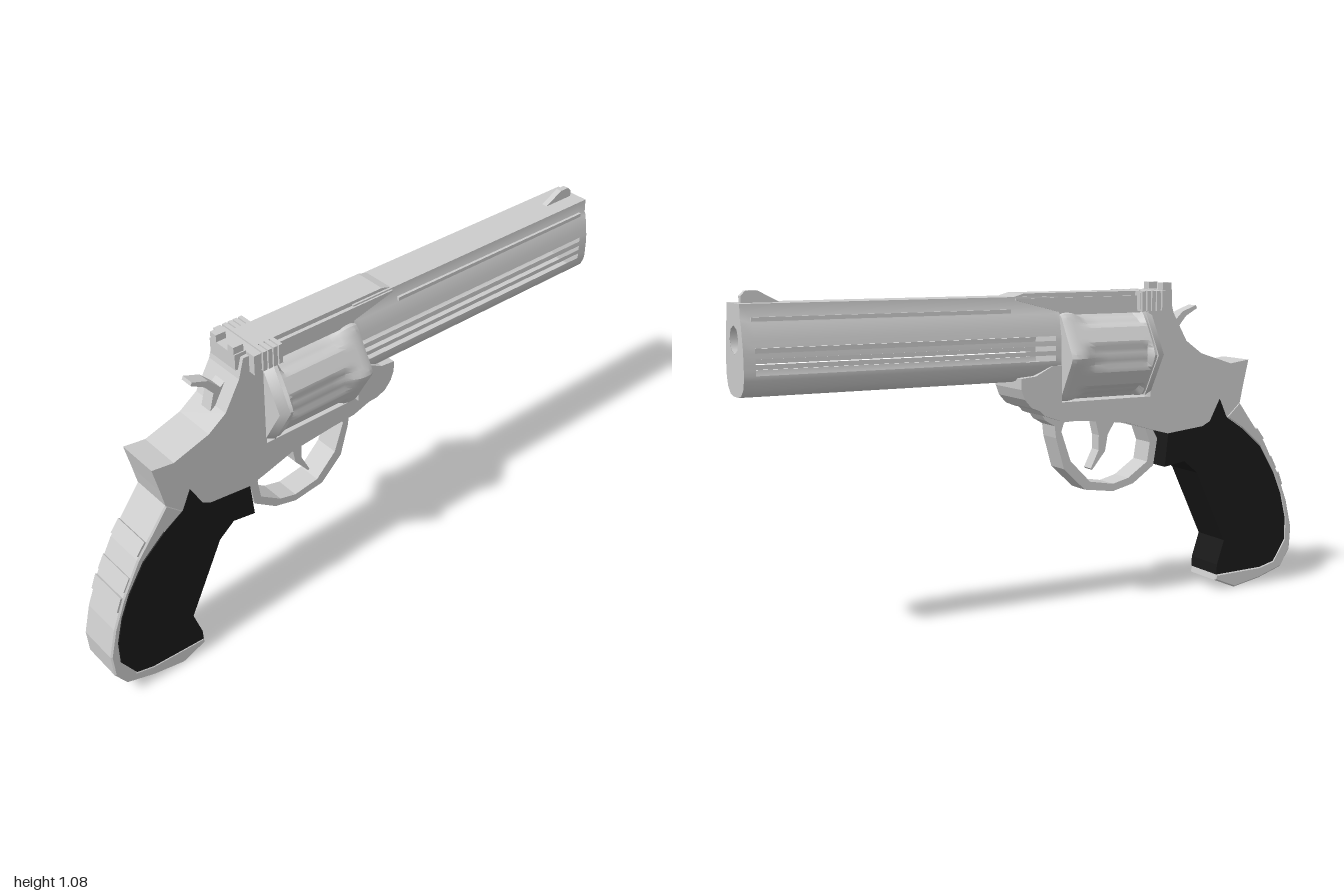
import * as THREE from 'three';
import { toCreasedNormals } from 'three/addons/utils/BufferGeometryUtils.js';

export function createModel() {
  const model = new THREE.Group();
  const steel = new THREE.MeshStandardMaterial({ color: 0xcccccc, side: THREE.DoubleSide });
  const rubber = new THREE.MeshStandardMaterial({ color: 0x191919 });

  function add(name, geo, mat = steel, x = 0, y = 0, z = 0) {
    const m = new THREE.Mesh(geo, mat);
    m.name = name;
    m.position.set(x, y, z);
    model.add(m);
    return m;
  }
  const toShape = pts => new THREE.Shape(pts.map(p => new THREE.Vector2(p[0], p[1])));

  // Side outline (x, y) extruded symmetrically to half width w
  function plate(name, pts, w, mat = steel, bevel = 0) {
    const geo = new THREE.ExtrudeGeometry(toShape(pts), {
      depth: 2 * (w - bevel), bevelEnabled: bevel > 0, bevelThickness: bevel,
      bevelSize: bevel, bevelOffset: -bevel, bevelSegments: 1,
    });
    return add(name, geo.translate(0, 0, bevel - w), mat);
  }
  // Box given by its ranges
  function box(name, x0, x1, y0, y1, z0, z1) {
    add(name, new THREE.BoxGeometry(x1 - x0, y1 - y0, z1 - z0), steel,
      (x0 + x1) / 2, (y0 + y1) / 2, (z0 + z1) / 2);
  }

  // Frame behind and below the cylinder
  plate('frame', [
    [-0.79, 0.805], [-0.715, 0.795], [-0.59, 0.835], [-0.527, 0.88], [-0.473, 0.975],
    [-0.455, 1.04], [-0.37, 1.04], [-0.385, 0.70], [0.06, 0.70], [0.02, 0.66], [-0.04, 0.64],
    [-0.125, 0.635], [-0.285, 0.62], [-0.40, 0.585], [-0.457, 0.57], [-0.60, 0.585],
    [-0.63, 0.60], [-0.67, 0.675], [-0.70, 0.61], [-0.77, 0.565], [-0.755, 0.65], [-0.77, 0.72],
  ], 0.073);

  // Top strap, tapering into the rib of the barrel
  const strapSide = [[-0.39, 0.98], [-0.035, 0.98], [-0.035, 0.99], [0.12, 1.03], [0.12, 1.04],
    [0.085, 1.05], [-0.39, 1.05]];
  plate('topStrap', strapSide, 0.055);
  const strapEdge = strapSide.map(([x, y]) => [x, Math.min(y, 1.035)]);
  plate('topStrapSides', strapEdge, 0.068);

  // Grip and its steel surround
  const gripBack = [[-0.70, 0.61], [-0.77, 0.565], [-0.85, 0.495], [-0.91, 0.40], [-0.945, 0.32],
    [-0.968, 0.23], [-0.968, 0.15], [-0.92, 0.075], [-0.86, 0.06], [-0.67, 0.055]];
  plate('grip', [
    ...gripBack, [-0.672, 0.09], [-0.70, 0.175], [-0.64, 0.30], [-0.58, 0.425], [-0.525, 0.47],
    [-0.445, 0.457], [-0.457, 0.57], [-0.60, 0.585], [-0.63, 0.60], [-0.67, 0.675],
  ], 0.075, rubber);
  plate('backStrap', [
    ...gripBack, [-0.665, 0.035], [-0.75, 0.0], [-0.86, 0.02], [-0.955, 0.05], [-0.995, 0.11],
    [-1.0, 0.19], [-0.975, 0.29], [-0.935, 0.39], [-0.87, 0.51], [-0.80, 0.60], [-0.755, 0.66],
  ], 0.075, steel, 0.005);
  // Raised bands on the back of the grip
  for (const [x, y, a] of [[-0.844, 0.535, 0.91], [-0.905, 0.43, 1.07], [-0.937, 0.37, 1.19]]) {
    const band = add('backStrapBand', new THREE.BoxGeometry(0.05, 0.024, 0.14), steel, x, y);
    band.rotation.z = a;
  }

  // Six-sided cylinder with a flute scooped along each corner
  const seg = 72;
  const xs = [-0.355, -0.345, -0.33, -0.31, -0.25, -0.18, -0.13, -0.105, -0.085, -0.07, -0.05, -0.035];
  const pos = [], idx = [];
  const sixth = Math.PI / 3;
  xs.forEach((x, i) => {
    const end = i === 0 || i === xs.length - 1 ? 0.006 : 0;
    const cut = THREE.MathUtils.smoothstep(-x, 0.07, 0.14) * THREE.MathUtils.smoothstep(x, -0.35, -0.33);
    for (let j = 0; j < seg; j++) {
      const a = j / seg * Math.PI * 2;
      const fromFlat = (a % sixth) - sixth / 2;
      const fromCorner = sixth / 2 - Math.abs(fromFlat);
      const flute = Math.max(0, 1 - (fromCorner / 0.3) ** 2);
      const r = Math.min(0.160, 0.142 / Math.cos(fromFlat)) - end - 0.024 * cut * flute;
      pos.push(x, 0.845 + r * Math.sin(a), r * Math.cos(a));
    }
  });
  for (let i = 0; i < xs.length - 1; i++) for (let j = 0; j < seg; j++) {
    const a = i * seg + j, b = i * seg + (j + 1) % seg, c = a + seg, d = b + seg;
    idx.push(a, b, c, b, d, c);
  }
  const last = (xs.length - 1) * seg;
  for (let j = 1; j < seg - 1; j++) {
    idx.push(0, j + 1, j, last, last + j, last + j + 1);
  }
  // Corner order runs from +z to +y, so flip every face outward
  for (let k = 0; k < idx.length; k += 3) [idx[k + 1], idx[k + 2]] = [idx[k + 2], idx[k + 1]];
  const drum = new THREE.BufferGeometry();
  drum.setAttribute('position', new THREE.Float32BufferAttribute(pos, 3));
  drum.setIndex(idx);
  add('cylinder', toCreasedNormals(drum, 0.4));

  // Recoil shield behind the cylinder
  const shield = new THREE.CylinderGeometry(0.16, 0.145, 0.03, 6);
  add('recoilShield', shield.rotateZ(-Math.PI / 2), steel, -0.372, 0.845);

  // Barrel shroud: hollow shell with three long vents in each side
  const half = [[0.062, 1.04], [0.064, 0.995], [0.07, 0.985], [0.078, 0.94], [0.083, 0.915],
    [0.084, 0.90], [0.085, 0.884], [0.085, 0.868], [0.085, 0.854], [0.085, 0.836],
    [0.083, 0.822], [0.073, 0.795], [0.05, 0.776], [0.025, 0.77]];
  const vents = [4, 6, 8];
  const ring = [...half, ...half.map(([z, y]) => [-z, y]).reverse()];
  const stations = [-0.035, -0.015, 0.965, 1.0];
  const shell = [];
  for (let s = 0; s < 3; s++) for (let k = 0; k < ring.length; k++) {
    const mirror = ring.length - 2 - k;
    if (s === 1 && (vents.includes(k) || vents.includes(mirror))) continue;
    const [z0, y0] = ring[k], [z1, y1] = ring[(k + 1) % ring.length];
    const a = stations[s], b = stations[s + 1];
    shell.push(a, y0, z0, a, y1, z1, b, y1, z1, a, y0, z0, b, y1, z1, b, y0, z0);
  }
  const shroud = new THREE.BufferGeometry();
  shroud.setAttribute('position', new THREE.Float32BufferAttribute(shell, 3));
  add('barrelShroud', toCreasedNormals(shroud, 0.6));

  // Muzzle face, breech face and the mouth of the bore
  const muzzle = toShape(ring.map(([z, y]) => [-z, y]));
  const hole = new THREE.Path();
  hole.absarc(0, 0.935, 0.042, 0, Math.PI * 2, true);
  muzzle.holes.push(hole);
  add('muzzleFace', new THREE.ShapeGeometry(muzzle, 4).rotateY(Math.PI / 2), steel, 1.0);
  add('breechFace', new THREE.ShapeGeometry(toShape(ring)).rotateY(-Math.PI / 2), steel, -0.035);
  const bore = new THREE.CylinderGeometry(0.042, 0.042, 0.035, 8, 1, true);
  add('bore', bore.rotateZ(Math.PI / 2), steel, 0.982, 0.935);

  // Slim rails beside the top rib
  for (const s of [-1, 1]) box('ribRail', 0.14, 0.97, 0.99, 1.002, s * 0.068 - 0.005, s * 0.068 + 0.005);

  // Crane under the rear of the barrel
  plate('crane', [
    [-0.035, 0.82], [-0.035, 0.70], [0.0, 0.675], [0.04, 0.677], [0.075, 0.69], [0.10, 0.718],
    [0.112, 0.75], [0.112, 0.785], [0.06, 0.79], [0.0, 0.82],
  ], 0.088);

  // Trigger guard loop
  const guard = toShape([
    [-0.40, 0.61], [-0.435, 0.55], [-0.42, 0.46], [-0.34, 0.405], [-0.26, 0.385], [-0.15, 0.40],
    [-0.07, 0.475], [-0.04, 0.58], [-0.035, 0.62], [0.0, 0.64], [0.02, 0.67], [-0.10, 0.67],
  ]);
  guard.holes.push(new THREE.Path([
    [-0.385, 0.59], [-0.405, 0.54], [-0.395, 0.475], [-0.32, 0.425], [-0.26, 0.41], [-0.17, 0.425],
    [-0.095, 0.50], [-0.06, 0.60], [-0.07, 0.63], [-0.125, 0.632], [-0.285, 0.615],
  ].map(p => new THREE.Vector2(...p))));
  add('triggerGuard', new THREE.ExtrudeGeometry(guard, { depth: 0.084, bevelEnabled: false }),
    steel, 0, 0, -0.042);

  plate('trigger', [
    [-0.285, 0.63], [-0.25, 0.575], [-0.24, 0.52], [-0.19, 0.46], [-0.185, 0.465],
    [-0.215, 0.525], [-0.215, 0.575], [-0.20, 0.635],
  ], 0.022);

  plate('hammer', [
    [-0.605, 0.985], [-0.56, 0.96], [-0.53, 0.925], [-0.55, 0.85], [-0.45, 0.85], [-0.465, 0.97],
    [-0.485, 0.95], [-0.505, 0.935], [-0.545, 0.975], [-0.60, 0.995],
  ], 0.022);

  // Rear sight: serrated block and notched blade
  box('rearSightBase', -0.435, -0.41, 0.985, 1.05, -0.098, 0.098);
  box('rearSightCore', -0.435, -0.33, 0.99, 1.045, -0.09, 0.09);
  for (let i = 0; i < 4; i++) {
    const x = -0.403 + i * 0.019;
    box('rearSightSerration', x, x + 0.014, 0.985, 1.05, -0.098, 0.098);
  }
  box('rearSightBlade', -0.475, -0.435, 1.0, 1.052, -0.06, 0.06);
  for (const s of [-1, 1]) box('rearSightPost', -0.475, -0.44, 1.05, 1.075, s * 0.042 - 0.014, s * 0.042 + 0.014);

  // Front sight ramp
  plate('frontSight', [[0.86, 1.038], [0.98, 1.038], [0.98, 1.06], [0.965, 1.075], [0.93, 1.075]], 0.01);

  return model;
}
